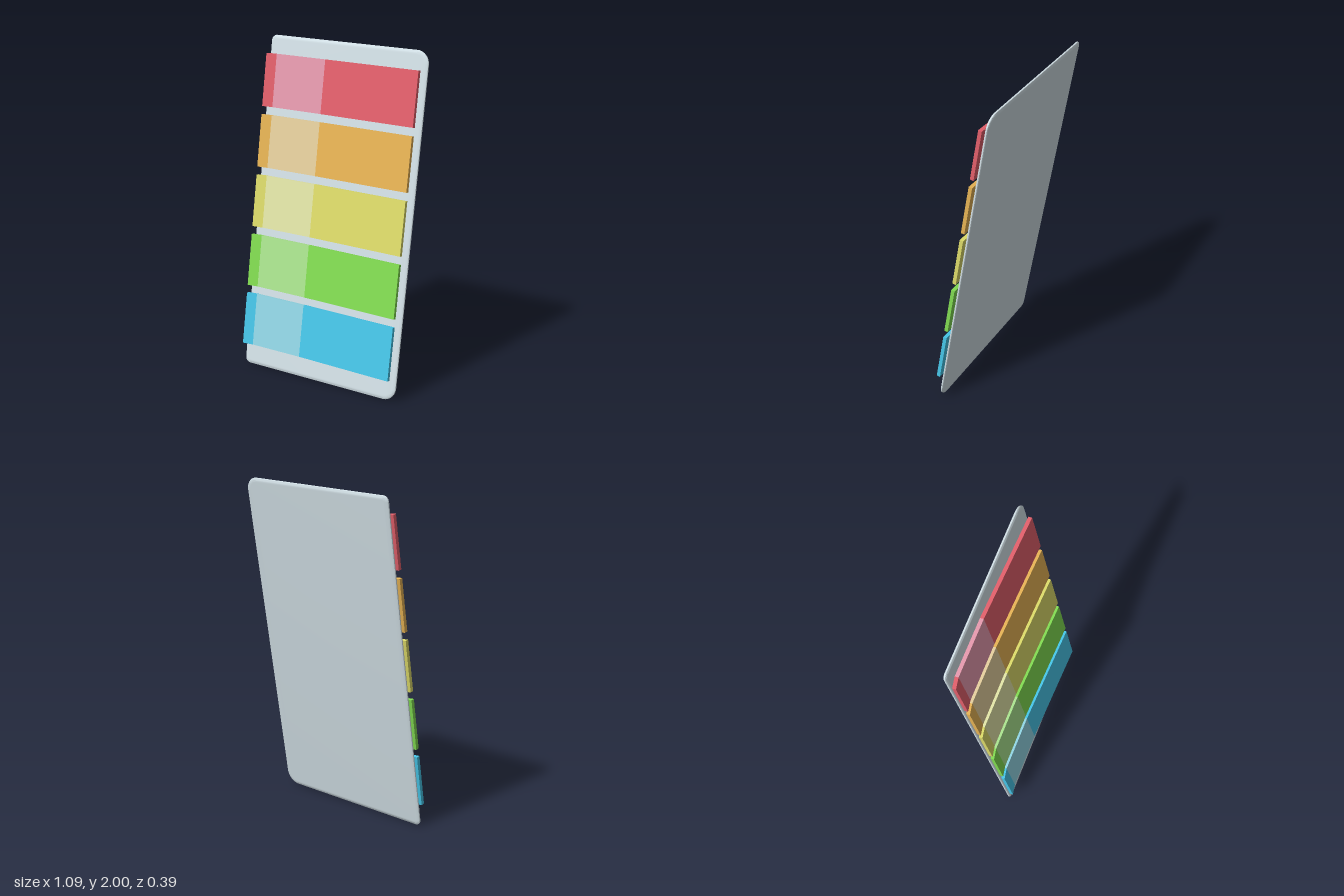
import * as THREE from 'three';
import { toCreasedNormals } from 'three/addons/utils/BufferGeometryUtils.js';

const material = (color) => new THREE.MeshStandardMaterial({ color });

// Backing card: thin plate with softly rounded rim, rounder corners on the +x side
function makeCard() {
  const bevel = 0.025;
  const w = 0.537 - bevel, h = 1.0125 - bevel;
  const rl = 0.035 - bevel, rr = 0.08 - bevel;
  const s = new THREE.Shape();
  s.moveTo(-w + rl, -h);
  s.lineTo(w - rr, -h);
  s.absarc(w - rr, -h + rr, rr, -Math.PI / 2, 0);
  s.lineTo(w, h - rr);
  s.absarc(w - rr, h - rr, rr, 0, Math.PI / 2);
  s.lineTo(-w + rl, h);
  s.absarc(-w + rl, h - rl, rl, Math.PI / 2, Math.PI);
  s.lineTo(-w, -h + rl);
  s.absarc(-w + rl, -h + rl, rl, Math.PI, Math.PI * 1.5);
  const geo = new THREE.ExtrudeGeometry(s, {
    depth: 0.004, bevelThickness: 0.008, bevelSize: bevel, bevelSegments: 6, curveSegments: 10,
  });
  geo.translate(0, 0, -0.002);
  const card = new THREE.Mesh(toCreasedNormals(geo, 0.5), material(0xd3e1e7));
  card.name = 'backingCard';
  return card;
}

// One straight piece of a tab strip between two points [x, height above the card]
function makePiece(name, a, b, color) {
  const thick = 0.022, height = 0.318;
  const s = new THREE.Shape([
    new THREE.Vector2(a[0], a[1]),
    new THREE.Vector2(b[0], b[1]),
    new THREE.Vector2(b[0], b[1] + thick),
    new THREE.Vector2(a[0], a[1] + thick),
  ]);
  const geo = new THREE.ExtrudeGeometry(s, { depth: height, bevelEnabled: false });
  geo.rotateX(Math.PI / 2);
  geo.translate(0, height / 2, 0);
  const mesh = new THREE.Mesh(geo, material(color));
  mesh.name = name;
  return mesh;
}

export function createModel() {
  const model = new THREE.Group();
  model.name = 'stickyTabCard';

  // The card leans back, with a very slight roll
  const leaning = new THREE.Group();
  leaning.name = 'leaningCard';
  leaning.position.set(0, 1, -0.0175);
  leaning.rotation.set(-0.171, 0, 0.005);
  model.add(leaning);
  leaning.add(makeCard());

  // Tab strips, bottom to top: [strong colour, paler middle]
  const strips = [
    ['blue', 0x47c7ea, 0x92d7e6],
    ['green', 0x82dd52, 0xabe58f],
    ['yellow', 0xdedc6a, 0xe3e6a8],
    ['orange', 0xe8b455, 0xe6d09e],
    ['red', 0xe4606c, 0xe79aae],
  ];
  // Bend line: lifted left tip, flat glued middle, lifted right end
  const bend = [[-0.539, 0.025], [-0.473, 0.012], [-0.127, 0.012], [0.508, 0.036]];
  strips.forEach(([name, strong, pale], i) => {
    const strip = new THREE.Group();
    strip.name = name + 'TabStrip';
    strip.position.y = 0.008 + (i - 2) * 0.367;
    strip.add(
      makePiece('stripTip', bend[0], bend[1], strong),
      makePiece('stripPaleMiddle', bend[1], bend[2], pale),
      makePiece('stripFreeEnd', bend[2], bend[3], strong),
    );
    leaning.add(strip);
  });
  return model;
}
